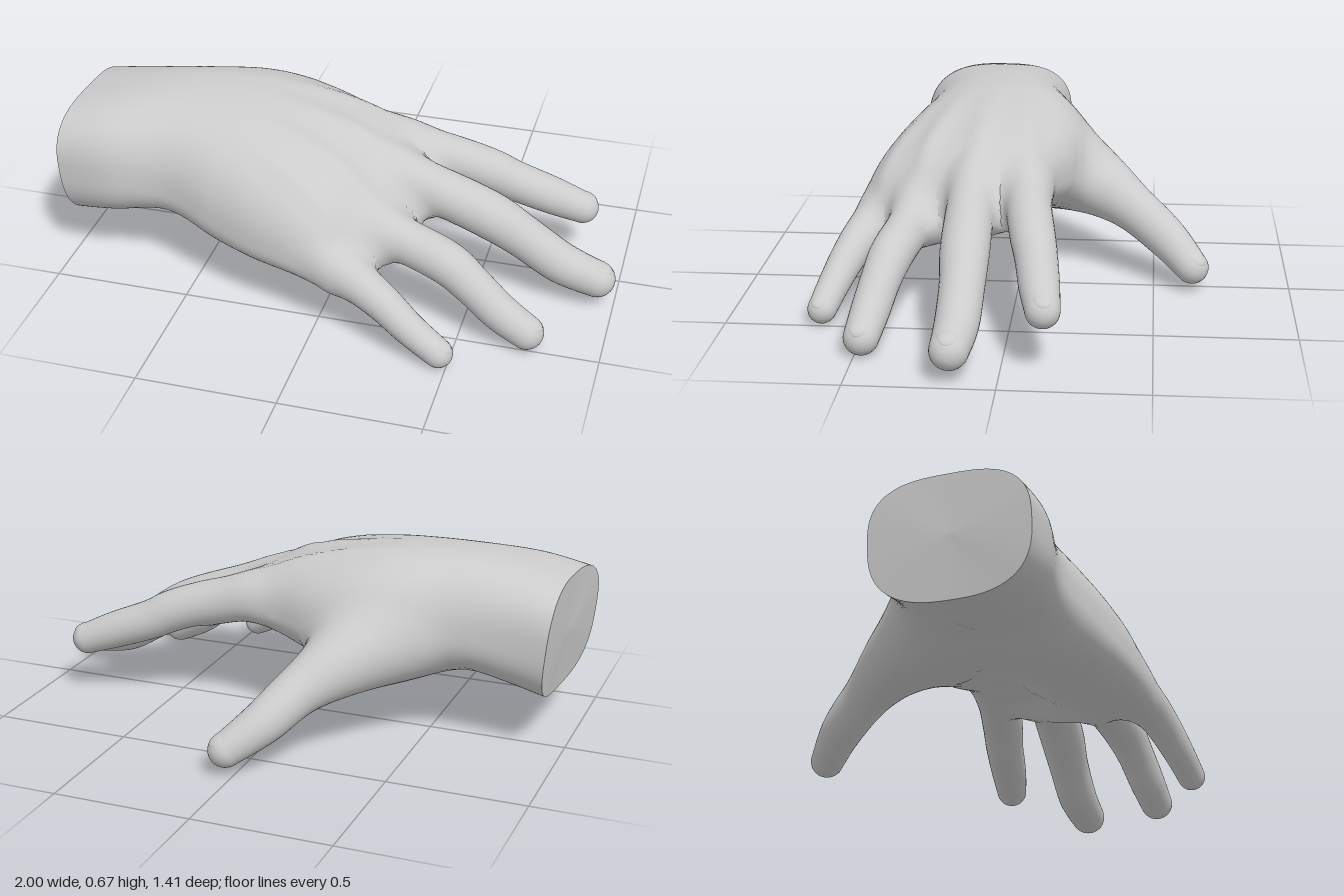
import * as THREE from 'three';

const skin = new THREE.MeshStandardMaterial({ color: 0xcccccc, roughness: 0.8 });
const { smoothstep, lerp, clamp } = THREE.MathUtils;

// Catmull-Rom interpolation through rows of numbers, t from 0 to 1
function spline(rows, t) {
  const n = rows.length - 1;
  const i = Math.min(Math.floor(t * n), n - 1);
  const f = t * n - i;
  const row = (k) => rows[clamp(k, 0, n)];
  return rows[0].map((_, c) => {
    const [a, b, d, e] = [row(i - 1)[c], row(i)[c], row(i + 1)[c], row(i + 2)[c]];
    return b + 0.5 * f * (d - a + f * (2 * a - 5 * b + 4 * d - e + f * (3 * (b - d) + e - a)));
  });
}

// Skin a list of closed rings (arrays of Vector3)
function loft(name, rings) {
  const m = rings[0].length;
  const index = [];
  for (let i = 0; i < rings.length - 1; i++) {
    for (let j = 0; j < m; j++) {
      const a = i * m + j, b = i * m + (j + 1) % m;
      index.push(a, a + m, b, b, a + m, b + m);
    }
  }
  const geometry = new THREE.BufferGeometry().setFromPoints(rings.flat());
  geometry.setIndex(index);
  geometry.computeVertexNormals();
  const mesh = new THREE.Mesh(geometry, skin);
  mesh.name = name;
  return mesh;
}

// Palm stations: x, sweep back at the little finger side, z of both edges,
// top, bottom, edge height on the thumb side and on the little finger side
const palmRows = [
  [-0.965, 0.05, -0.145, 0.42, 0.62, 0.18, 0.41, 0.40],
  [-0.79, 0.03, -0.14, 0.44, 0.655, 0.21, 0.42, 0.40],
  [-0.60, 0, -0.16, 0.425, 0.677, 0.24, 0.42, 0.38],
  [-0.40, 0, -0.23, 0.49, 0.675, 0.195, 0.40, 0.33],
  [-0.25, 0, -0.25, 0.54, 0.655, 0.185, 0.39, 0.30],
  [-0.10, 0, -0.215, 0.575, 0.62, 0.19, 0.40, 0.28],
  [0.05, 0.04, -0.155, 0.59, 0.57, 0.21, 0.41, 0.25],
  [0.20, 0.13, -0.12, 0.59, 0.485, 0.235, 0.41, 0.21],
  [0.29, 0.17, -0.10, 0.57, 0.40, 0.245, 0.38, 0.21],
  [0.322, 0.18, -0.08, 0.55, 0.36, 0.26, 0.355, 0.215],
  [0.336, 0.185, -0.06, 0.54, 0.335, 0.28, 0.34, 0.22],
  [0.34, 0.185, -0.05, 0.53, 0.305, 0.305, 0.335, 0.22],
];
const tendons = [[0.05, -0.05], [0.11, 0.15], [0.18, 0.35], [0.25, 0.52]];

function palmRing(t, sides = 96) {
  const [x0, sweep, z0, z1, top, bottom, edge0, edge1] = spline(palmRows, t);
  const squareness = lerp(0.72, 0.85, smoothstep(t, 0, 0.25));
  const power = (v) => Math.sign(v) * Math.abs(v) ** squareness;
  const ring = [];
  for (let j = 0; j < sides; j++) {
    const a = (j / sides) * Math.PI * 2;
    const s = power(Math.sin(a));
    const w = (power(Math.cos(a)) + 1) / 2;
    const x = x0 - sweep * w ** 2.5;
    const z = lerp(z0, z1, w);
    let y = lerp(edge0, edge1, w) + Math.abs(s) * ((s > 0 ? top : bottom) - (edge0 + edge1) / 2);
    const fade = 1 - smoothstep(t, 0.6, 0.76);
    if (s > 0) {
      // Tendons fan out over the back of the hand
      for (const [from, to] of tendons) {
        const line = lerp(from, to, (x + 0.6) / 0.7);
        y += 0.016 * s * fade * smoothstep(x, -0.45, 0.05) * Math.exp(-(((z - line) / 0.035) ** 2));
      }
    } else {
      // Hollow of the palm
      y -= 0.07 * s * fade * smoothstep(x, -0.5, -0.1) * Math.exp(-(((z - 0.1) / 0.14) ** 2));
    }
    // The wrist is cut at a slant
    const slant = 0.1 * (0.6 - y) * (1 - smoothstep(x, -1, -0.7));
    ring.push(new THREE.Vector3(x + slant, y, z));
  }
  return ring;
}

// Smoothed signed distance and normal of a geometry's surface at a point
function surfaceField(geometry) {
  const pos = geometry.attributes.position.array, nor = geometry.attributes.normal.array;
  return (p) => {
    let sum = 0, dist = 0, nx = 0, ny = 0, nz = 0, nearest = Infinity;
    for (let i = 0; i < pos.length; i += 3) {
      const dx = p.x - pos[i], dy = p.y - pos[i + 1], dz = p.z - pos[i + 2];
      const d2 = dx * dx + dy * dy + dz * dz;
      const weight = 1 / (d2 * d2 * d2 * d2 + 1e-17);
      nearest = Math.min(nearest, d2);
      sum += weight;
      dist += weight * (dx * nor[i] + dy * nor[i + 1] + dz * nor[i + 2]);
      nx += weight * nor[i];
      ny += weight * nor[i + 1];
      nz += weight * nor[i + 2];
    }
    return { d: dist / sum, n: new THREE.Vector3(nx, ny, nz).normalize(), far: Math.sqrt(nearest) };
  };
}

// Flare a finger's root outwards so that it flows into the palm, over a width k
function blendInto(field, geometry, k) {
  const pos = geometry.attributes.position;
  const nor = geometry.attributes.normal.clone();
  const turns = [];
  for (let i = 0; i < pos.count; i++) {
    const start = new THREE.Vector3().fromBufferAttribute(pos, i);
    const out = new THREE.Vector3().fromBufferAttribute(nor, i);
    let h = 0, hit = field(start);
    if (hit.far > 2 * k && hit.d > -k) continue;
    const p = start.clone();
    for (let step = 0; step < 12; step++) {
      const overlap = Math.max(k - Math.abs(h - hit.d), 0);
      h = clamp(h - Math.min(h, hit.d) + overlap * overlap / (4 * k), 0, k);
      hit = field(p.copy(start).addScaledVector(out, h));
    }
    pos.setXYZ(i, p.x, p.y, p.z);
    turns.push([i, hit.n, smoothstep(0.5 + (h - hit.d) / (2 * k), 0.55, 0.95)]);
  }
  // Shade the rim of the flare like the palm below it
  geometry.computeVertexNormals();
  for (const [i, n, w] of turns) {
    const v = new THREE.Vector3().fromBufferAttribute(geometry.attributes.normal, i).lerp(n, w).normalize();
    geometry.attributes.normal.setXYZ(i, v.x, v.y, v.z);
  }
}

// Finger along rows of x, y, z, radius, with a round tip and a nail
function finger(name, rows, sides = 32) {
  const rings = [];
  const up = new THREE.Vector3(0, 1, 0);
  const at = (t) => new THREE.Vector3(...spline(rows, t).slice(0, 3));
  const frame = (t) => {
    const along = at(Math.min(1, t + 0.01)).sub(at(Math.max(0, t - 0.01))).normalize();
    const side = along.clone().cross(up).normalize();
    return { along, side, rise: side.clone().cross(along) };
  };
  const addRing = (centre, { side, rise }, r) => {
    rings.push(Array.from({ length: sides }, (_, j) => {
      const a = (j / sides) * Math.PI * 2;
      return centre.clone().addScaledVector(side, r * Math.cos(a)).addScaledVector(rise, r * Math.sin(a));
    }));
  };
  for (let i = 0; i <= 48; i++) addRing(at(i / 48), frame(i / 48), spline(rows, i / 48)[3]);

  const tip = at(1), end = frame(1), r = rows[rows.length - 1][3];
  for (let i = 1; i <= 10; i++) {
    const a = (i / 10) * Math.PI / 2;
    addRing(tip.clone().addScaledVector(end.along, r * Math.sin(a)), end, r * Math.cos(a));
  }
  const nail = new THREE.Mesh(new THREE.SphereGeometry(1, 24, 16), skin);
  nail.name = 'nail';
  nail.quaternion.setFromRotationMatrix(new THREE.Matrix4().makeBasis(end.along, end.rise, end.side));
  nail.scale.set(r * 0.7, r * 0.3, r * 0.58);
  nail.position.copy(tip).addScaledVector(end.rise, r * 0.73).addScaledVector(end.along, -r * 0.05);

  const group = new THREE.Group();
  group.name = name;
  group.add(loft(name + 'Skin', rings), nail);
  return group;
}

const fingers = {
  thumb: [
    [-0.58, 0.42, 0.08, 0.10], [-0.42, 0.385, -0.07, 0.135], [-0.27, 0.337, -0.255, 0.13],
    [-0.154, 0.262, -0.415, 0.09], [-0.066, 0.174, -0.545, 0.077], [0.033, 0.095, -0.64, 0.061],
  ],
  indexFinger: [
    [0.0, 0.41, -0.01, 0.05], [0.15, 0.445, -0.04, 0.078], [0.32, 0.412, -0.055, 0.08],
    [0.48, 0.36, -0.08, 0.079], [0.58, 0.313, -0.1, 0.074], [0.72, 0.26, -0.12, 0.069],
    [0.83, 0.217, -0.138, 0.059],
  ],
  middleFinger: [
    [0.0, 0.41, 0.14, 0.05], [0.15, 0.445, 0.15, 0.083], [0.33, 0.39, 0.15, 0.085],
    [0.53, 0.312, 0.147, 0.086], [0.66, 0.237, 0.143, 0.078], [0.8, 0.152, 0.146, 0.075],
    [0.934, 0.113, 0.157, 0.066],
  ],
  ringFinger: [
    [-0.05, 0.36, 0.33, 0.05], [0.1, 0.36, 0.355, 0.078], [0.28, 0.305, 0.378, 0.078],
    [0.44, 0.262, 0.413, 0.077], [0.54, 0.2, 0.438, 0.07], [0.64, 0.125, 0.46, 0.067],
    [0.74, 0.069, 0.476, 0.061],
  ],
  littleFinger: [
    [-0.1, 0.31, 0.45, 0.05], [0.02, 0.28, 0.51, 0.07], [0.14, 0.24, 0.555, 0.073],
    [0.26, 0.185, 0.598, 0.064], [0.36, 0.122, 0.632, 0.057], [0.47, 0.06, 0.66, 0.051],
  ],
};

export function createModel() {
  const hand = new THREE.Group();
  hand.name = 'hand';
  const rings = Array.from({ length: 89 }, (_, i) => palmRing(i / 88));
  const palm = loft('palmAndWrist', rings);
  hand.add(palm);

  // Flat cut at the wrist
  const rim = rings[0];
  const centre = rim.reduce((sum, p) => sum.add(p), new THREE.Vector3()).divideScalar(rim.length);
  hand.add(loft('wristCut', [rim.map(() => centre.clone()), rim.map((p) => p.clone())]));

  const field = surfaceField(palm.geometry);
  for (const [name, rows] of Object.entries(fingers)) {
    const part = finger(name, rows);
    blendInto(field, part.children[0].geometry, name === 'thumb' ? 0.12 : 0.06);
    hand.add(part);
  }
  return hand;
}
